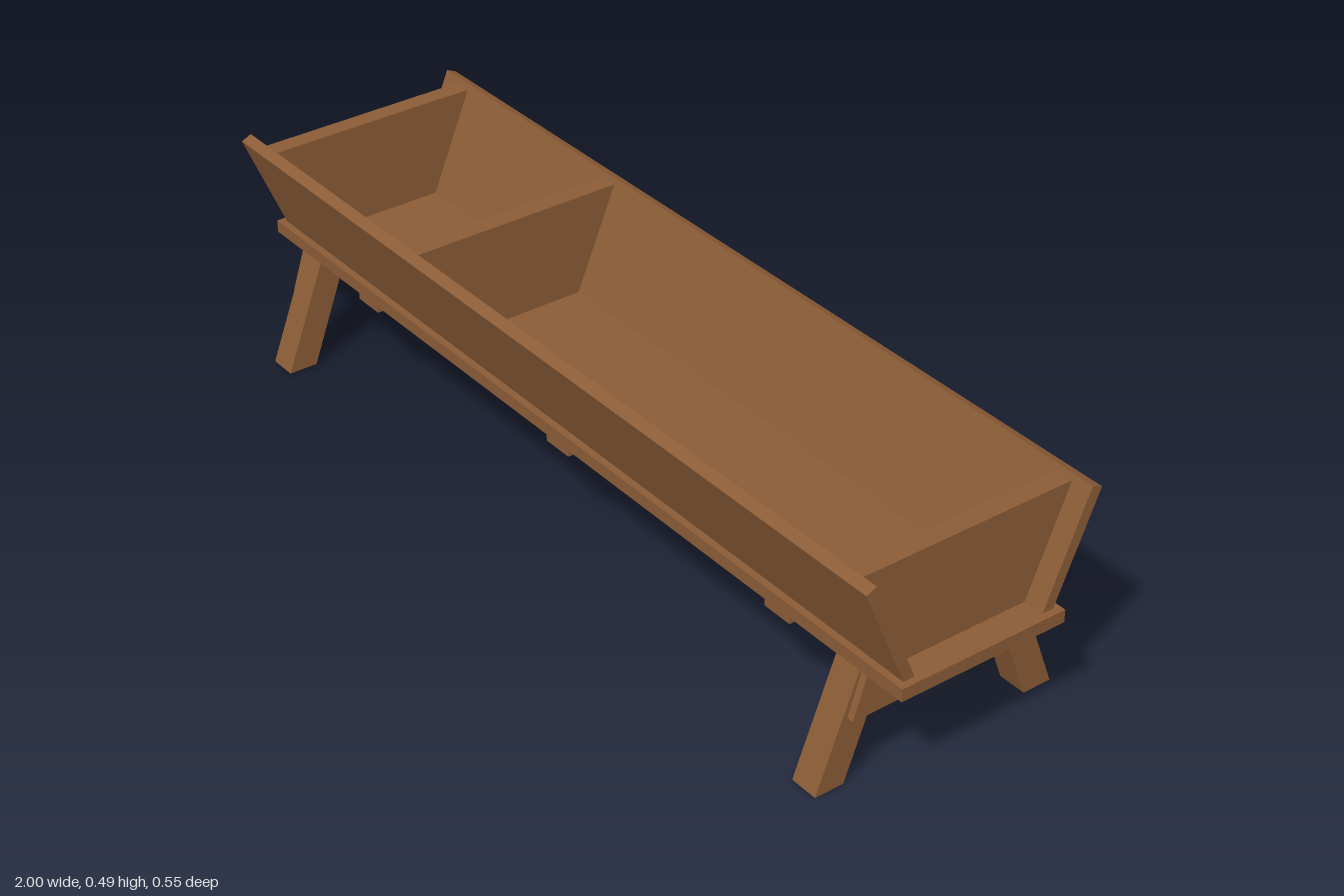
import * as THREE from 'three';

const wood = new THREE.MeshStandardMaterial({ color: 0x8b5c36 });
wood.name = 'brown wood';

// Board with a (z, y) outline, running along x from x0 to x1
function board(name, outline, x0, x1) {
  const shape = new THREE.Shape(outline.map(([z, y]) => new THREE.Vector2(z, y)));
  const geo = new THREE.ExtrudeGeometry(shape, { depth: x1 - x0, bevelEnabled: false });
  geo.rotateY(-Math.PI / 2).translate(x1, 0, 0);
  const mesh = new THREE.Mesh(geo, wood);
  mesh.name = name;
  return mesh;
}

// Symmetric trapezoid outline
const trapezoid = (bottom, top, y0, y1) => [[-bottom, y0], [bottom, y0], [top, y1], [-top, y1]];
const mirrorZ = (outline, s) => outline.map(([z, y]) => [z * s, y]);

export function createModel() {
  const group = new THREE.Group();
  group.name = 'trough';
  const add = (...args) => group.add(board(...args));
  const floorY = 0.235, trayY = 0.262;

  // Floor plank
  add('floor', trapezoid(0.187, 0.187, floorY, trayY), -1, 1);

  // Slanted long sides
  const side = [[0.147, trayY], [0.172, trayY], [0.265, 0.481], [0.243, 0.491]];
  for (const s of [1, -1]) add(s > 0 ? 'frontSide' : 'backSide', mirrorZ(side, s), -0.985, 0.985);

  // End walls and the divider
  const wall = trapezoid(0.147, 0.238, trayY, 0.48);
  for (const [name, x] of [['endWallRight', -0.92], ['divider', -0.4], ['endWallLeft', 0.92]]) {
    add(name, wall, x - 0.02, x + 0.02);
  }

  // Battens beneath the floor
  for (const x of [-0.66, 0, 0.66]) {
    add('batten', trapezoid(0.18, 0.18, 0.213, floorY), x - 0.035, x + 0.035);
  }

  // Splayed legs, joined by an apron on the outer face of each pair
  const leg = [[0.213, 0], [0.277, 0], [0.188, floorY], [0.126, floorY]];
  for (const sx of [1, -1]) {
    const span = (a, b) => (sx > 0 ? [a, b] : [-b, -a]);
    for (const sz of [1, -1]) add('leg', mirrorZ(leg, sz), ...span(0.83, 0.892));
    add('apron', trapezoid(0.211, 0.182, 0.145, floorY), ...span(0.892, 0.907));
  }
  return group;
}
